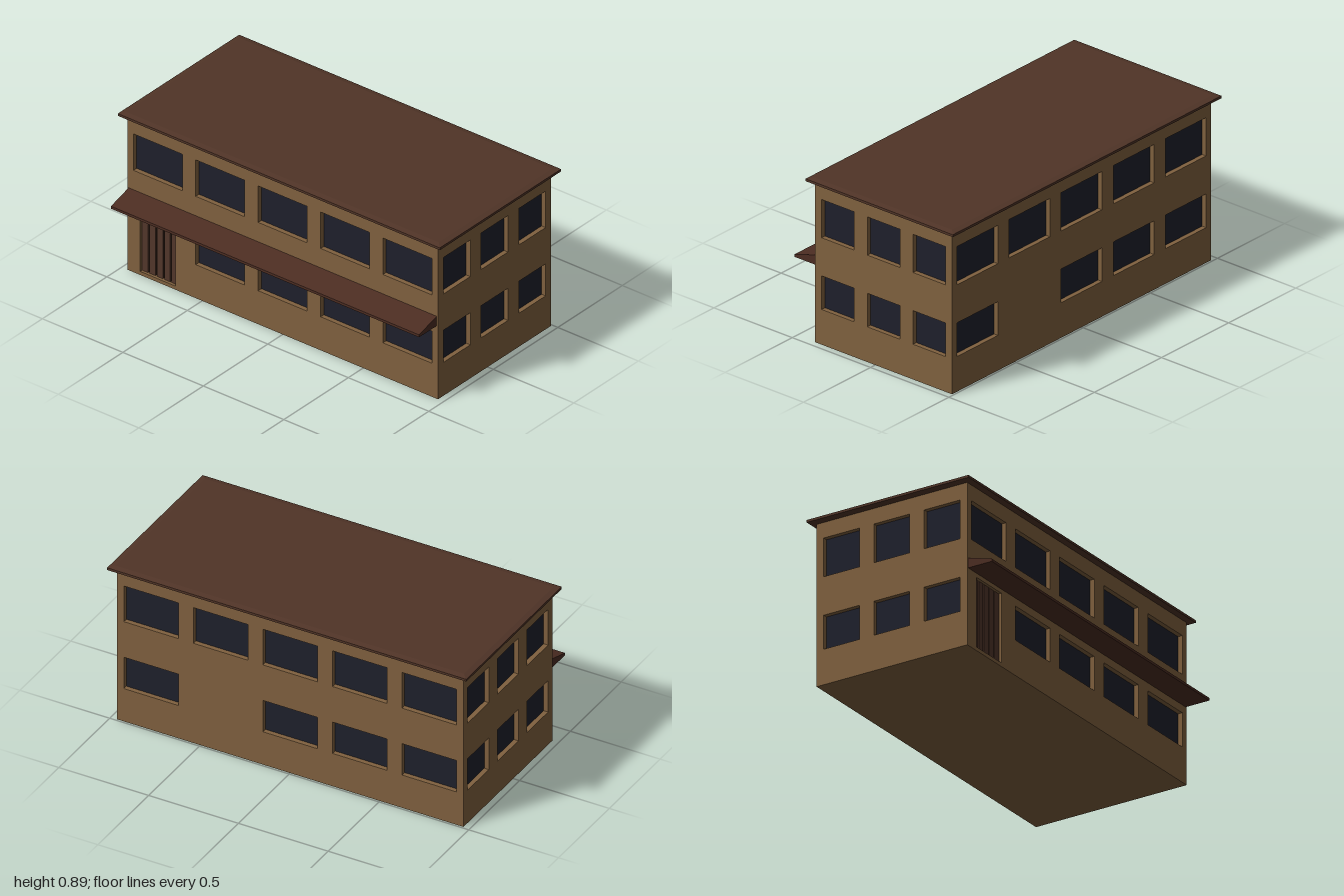
import * as THREE from 'three';

const mat = (color) => new THREE.MeshStandardMaterial({ color, flatShading: true });
const wallMat = mat(0x80613f);
const roofMat = mat(0x503427);
const awningMat = mat(0x4c2d22);
const doorMat = mat(0x52372a);
const grooveMat = mat(0x24160f);
const glassMat = mat(0x1e202c);

const HALF_W = 0.965, FRONT = 0.385, BACK = -0.49, WALL_TOP = 0.868;
const REVEAL = 0.025; // depth of window and door recesses
const MID_Z = (FRONT + BACK) / 2, DEPTH = FRONT - BACK;
const UPPER = [0.578, 0.785], LOWER = [0.19, 0.372];

function add(parent, name, geometry, material, x = 0, y = 0, z = 0) {
  const mesh = new THREE.Mesh(geometry, material);
  mesh.name = name;
  mesh.position.set(x, y, z);
  parent.add(mesh);
  return mesh;
}

function rectangle(Type, x0, x1, y0, y1) {
  return new Type().moveTo(x0, y0).lineTo(x1, y0).lineTo(x1, y1).lineTo(x0, y1).closePath();
}

// Window openings of one storey: [x0, x1, y0, y1]
function windowRow(centres, width, [y0, y1]) {
  return centres.map((c) => [c - width / 2, c + width / 2, y0, y1]);
}

// Pierced wall whose outer face lies on local z = 0, with glass behind
function buildWall(name, width, windows, door) {
  const wall = new THREE.Group();
  wall.name = name;
  const shape = rectangle(THREE.Shape, -width / 2, width / 2, 0, WALL_TOP);
  const openings = door ? [...windows, door] : windows;
  for (const o of openings) shape.holes.push(rectangle(THREE.Path, ...o));
  const geometry = new THREE.ExtrudeGeometry(shape, { depth: REVEAL, bevelEnabled: false });
  add(wall, 'wallPanel', geometry, wallMat, 0, 0, -REVEAL);
  for (const [x0, x1, y0, y1] of windows) {
    add(wall, 'windowPane', new THREE.BoxGeometry(x1 - x0, y1 - y0, 0.01), glassMat,
      (x0 + x1) / 2, (y0 + y1) / 2, -REVEAL - 0.005);
  }
  return wall;
}

// Door of five upright planks with dark gaps
function buildDoor([x0, x1, y0, y1]) {
  const door = new THREE.Group();
  door.name = 'door';
  const w = x1 - x0, h = y1 - y0, y = (y0 + y1) / 2, gap = 0.009, count = 5;
  add(door, 'doorBacking', new THREE.BoxGeometry(w, h, 0.01), grooveMat, (x0 + x1) / 2, y, -REVEAL - 0.005);
  const plank = (w - gap * (count - 1)) / count;
  for (let i = 0; i < count; i++) {
    add(door, 'doorPlank', new THREE.BoxGeometry(plank, h, 0.01), doorMat,
      x0 + plank / 2 + i * (plank + gap), y, -REVEAL + 0.005);
  }
  return door;
}

export function createModel() {
  const building = new THREE.Group();
  building.name = 'building';

  const bays = [-0.775, -0.388, 0, 0.388, 0.775];
  const longRow = (list, storey) => windowRow(list, 0.304, storey);

  // Front wall: the door takes the first ground-floor bay
  const doorway = [-0.885, -0.665, 0.02, 0.392];
  const front = buildWall('frontWall', HALF_W * 2,
    [...longRow(bays, UPPER), ...longRow(bays.slice(1), LOWER)], doorway);
  front.add(buildDoor(doorway));
  front.position.z = FRONT;
  building.add(front);

  // Back wall: one blank ground-floor bay
  const back = buildWall('backWall', HALF_W * 2,
    [...longRow(bays, UPPER), ...longRow(bays.filter((_, i) => i !== 1), LOWER)]);
  back.rotation.y = Math.PI;
  back.position.z = BACK;
  building.add(back);

  // Side walls fit between the front and back walls
  for (const side of [1, -1]) {
    const centres = [0.239, -0.0535, -0.345].map((z) => -side * (z - MID_Z));
    const windows = [UPPER, LOWER].flatMap((storey) => windowRow(centres, 0.208, storey));
    const wall = buildWall(side > 0 ? 'leftWall' : 'rightWall', DEPTH - 2 * REVEAL, windows);
    wall.rotation.y = side * Math.PI / 2;
    wall.position.set(side * HALF_W, 0, MID_Z);
    building.add(wall);
  }

  // Ground slab closing the underside
  add(building, 'floor', new THREE.BoxGeometry((HALF_W - REVEAL) * 2, 0.01, DEPTH - 2 * REVEAL),
    wallMat, 0, 0.005, MID_Z);

  // Flat roof slab with chamfered rim
  const rim = 0.03, chamfer = 0.006;
  const roofShape = rectangle(THREE.Shape, -1 + rim, 1 - rim, -0.47 + rim, 0.47 - rim);
  const roof = new THREE.ExtrudeGeometry(roofShape, {
    depth: 0.013, bevelSize: rim, bevelThickness: chamfer, bevelSegments: 1,
  });
  roof.rotateX(-Math.PI / 2);
  add(building, 'roof', roof, roofMat, 0, WALL_TOP + chamfer, -0.055);

  // Wedge-shaped awning along the front
  const profile = new THREE.Shape([[0.385, 0.414], [0.522, 0.414], [0.522, 0.428], [0.385, 0.468]]
    .map(([z, y]) => new THREE.Vector2(-z, y)));
  const awning = new THREE.ExtrudeGeometry(profile, { depth: 1.914, bevelEnabled: false });
  awning.rotateY(Math.PI / 2);
  add(building, 'awning', awning, awningMat, -0.957, 0, 0);

  return building;
}
